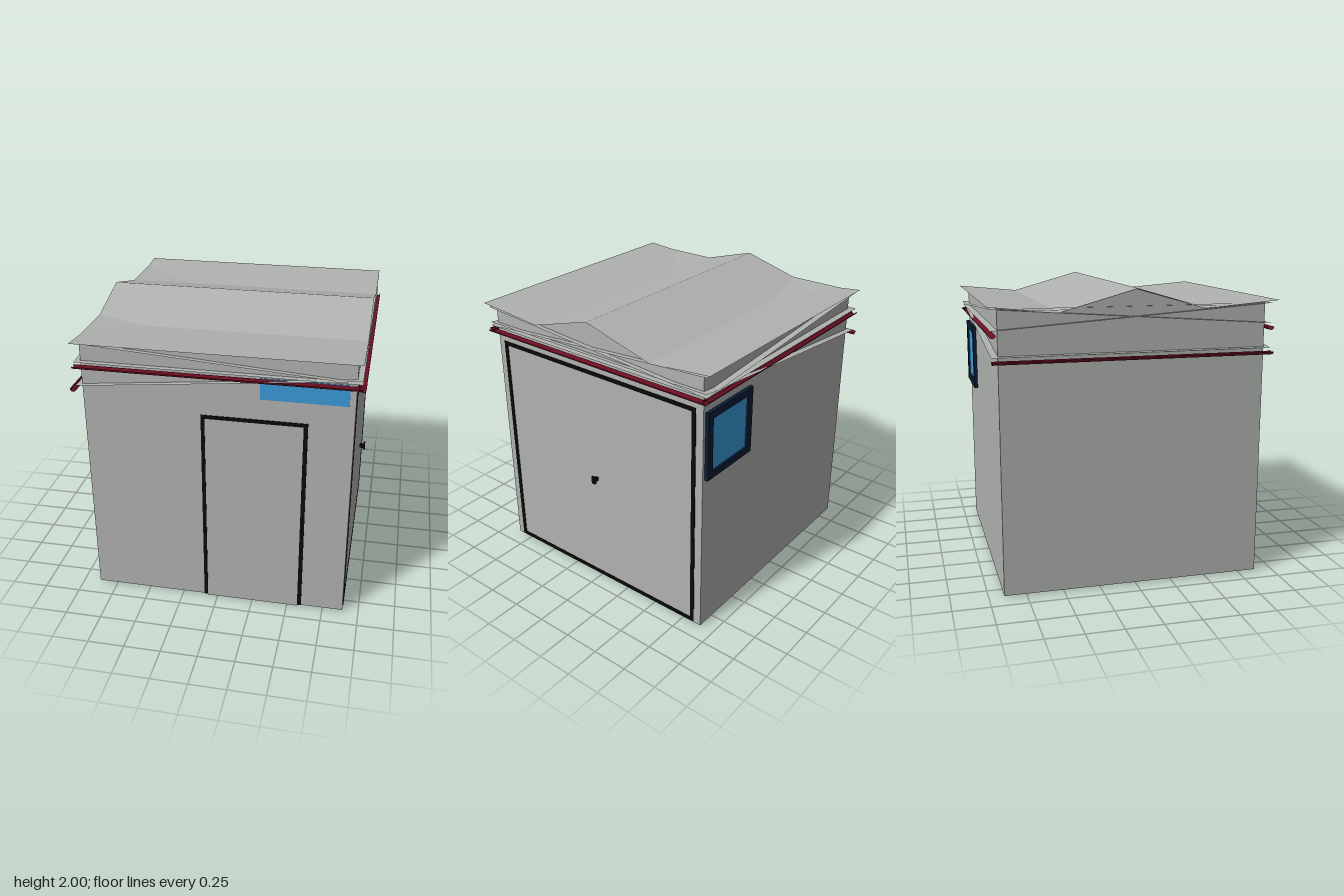
import * as THREE from 'three';

const mat = (name, color, side = THREE.FrontSide) => {
  const m = new THREE.MeshStandardMaterial({ color, side });
  m.name = name;
  return m;
};

export function createModel() {
  const grey = mat('render grey', 0xb0b2b0, THREE.DoubleSide);
  const black = mat('trim black', 0x0a0a0a);
  const red = mat('gutter red', 0x6b0f22, THREE.DoubleSide);
  const blue = mat('glass blue', 0x3a9bd8);
  const navy = mat('window frame navy', 0x0b1c33);

  const group = new THREE.Group();
  const add = (name, geo, material) => {
    const mesh = new THREE.Mesh(geo, material);
    mesh.name = name;
    group.add(mesh);
    return mesh;
  };
  // Box given by its limits on each axis
  const box = (name, m, [x0, x1], [y0, y1], [z0, z1]) =>
    add(name, new THREE.BoxGeometry(x1 - x0, y1 - y0, z1 - z0)
      .translate((x0 + x1) / 2, (y0 + y1) / 2, (z0 + z1) / 2), m);

  // Walls: end profile (z, y) run along x
  const profile = [[0.87, 0.01], [0.87, 1.894], [0.455, 1.861], [-0.01, 1.994],
    [-0.515, 1.856], [-0.9, 1.892], [-0.9, 0.01]];
  const shape = new THREE.Shape(profile.map(([z, y]) => new THREE.Vector2(-z, y)));
  add('walls', new THREE.ExtrudeGeometry(shape, { depth: 1.77, bevelEnabled: false })
    .rotateY(Math.PI / 2).translate(-0.88, 0, 0), grey);

  // Open sheet lofted through rows of points
  const sheet = (name, rows) => {
    const n = rows[0].length, index = [];
    for (let r = 0; r < rows.length - 1; r++) {
      for (let i = 0; i < n - 1; i++) {
        const a = r * n + i, b = a + n;
        index.push(a, b, a + 1, b, b + 1, a + 1);
      }
    }
    const geo = new THREE.BufferGeometry();
    geo.setAttribute('position', new THREE.Float32BufferAttribute(rows.flat(2), 3));
    geo.setIndex(index);
    const flat = geo.toNonIndexed();
    flat.computeVertexNormals();
    add(name, flat, grey);
  };

  // Folded top roof, with its valleys softened at the right-hand end
  const eaveF = [0.96, 1.906], eaveB = [-0.965, 1.904], peak = [-0.01, 2];
  const valF = [0.455, 1.865], valB = [-0.515, 1.86];
  const straight = [eaveF, valF, valF, peak, valB, valB, eaveB];
  const soft = [eaveF, [0.62, 1.878], [0.405, 1.8795], peak, [-0.455, 1.877], [-0.66, 1.874], eaveB];
  const row = (x, pts) => pts.map(([z, y]) => [x, y, z]);
  sheet('foldedRoof', [row(-0.915, soft), row(-0.73, straight), row(0.925, straight)]);

  // Tilted lower roof sheets: corner heights at right-front, right-back, left-front, left-back
  const lo = 1.757, hi = 1.889;
  const tilted = {
    roofSlopeLeft: [hi, hi, lo, lo],
    roofSlopeRight: [1.593, 1.593, 1.78, 1.78],
    roofSlopeFront: [lo, hi, lo, hi],
    roofSlopeBack: [hi, lo, hi, lo],
  };
  for (const [name, [a, b, c, d]] of Object.entries(tilted)) {
    sheet(name, [[[-0.915, a, 0.905], [-0.915, b, -0.945]],
      [[0.925, c, 0.905], [0.925, d, -0.945]]]);
  }

  // Half-round gutters, open at the top
  const gutter = (name, length, alongX, x, y, z) => {
    const geo = new THREE.CylinderGeometry(0.021, 0.021, length, 10, 1, true, -Math.PI / 2, Math.PI)
      .rotateX(Math.PI / 2);
    if (alongX) geo.rotateY(Math.PI / 2);
    add(name, geo.translate(x, y, z), red);
  };
  gutter('gutterLeft', 1.855, false, 0.925, 1.731, -0.017);
  gutter('gutterRight', 1.855, false, -0.932, 1.572, -0.017);
  gutter('gutterFront', 1.85, true, 0, 1.733, 0.9);
  gutter('gutterBack', 1.85, true, 0, 1.733, -0.935);

  // Front door outline
  const zf = [0.868, 0.875];
  box('frontDoorJamb', black, [-0.095, -0.07], [0.01, 1.445], zf);
  box('frontDoorJamb', black, [0.572, 0.6], [0.01, 1.445], zf);
  box('frontDoorHead', black, [-0.07, 0.572], [1.42, 1.445], zf);
  box('frontDoor', grey, [-0.07, 0.572], [0, 1.42], [0.866, 0.872]);

  // Front window strip
  box('frontWindow', blue, [0.29, 0.85], [1.59, 1.735], [0.868, 0.875]);

  // Garage door outline and handle
  const xf = [0.887, 0.894];
  for (const z of [-0.845, 0.79]) box('garageDoorJamb', black, xf, [0.015, 1.65], [z, z + 0.03]);
  for (const y of [0.015, 1.622]) box('garageDoorRail', black, xf, [y, y + 0.028], [-0.815, 0.79]);
  box('garageHandleStem', black, [0.9, 0.93], [0.833, 0.858], [-0.027, -0.003]);
  box('garageHandleGrip', black, [0.927, 0.94], [0.82, 0.875], [-0.03, 0]);

  // Framed back window
  const zb = [-0.925, -0.898];
  for (const x of [0.395, 0.82]) box('backWindowStile', navy, [x, x + 0.05], [1.16, 1.63], zb);
  for (const y of [1.16, 1.58]) box('backWindowRail', navy, [0.445, 0.82], [y, y + 0.05], zb);
  box('backWindowGlass', blue, [0.445, 0.82], [1.21, 1.58], [-0.912, -0.904]);

  return group;
}
